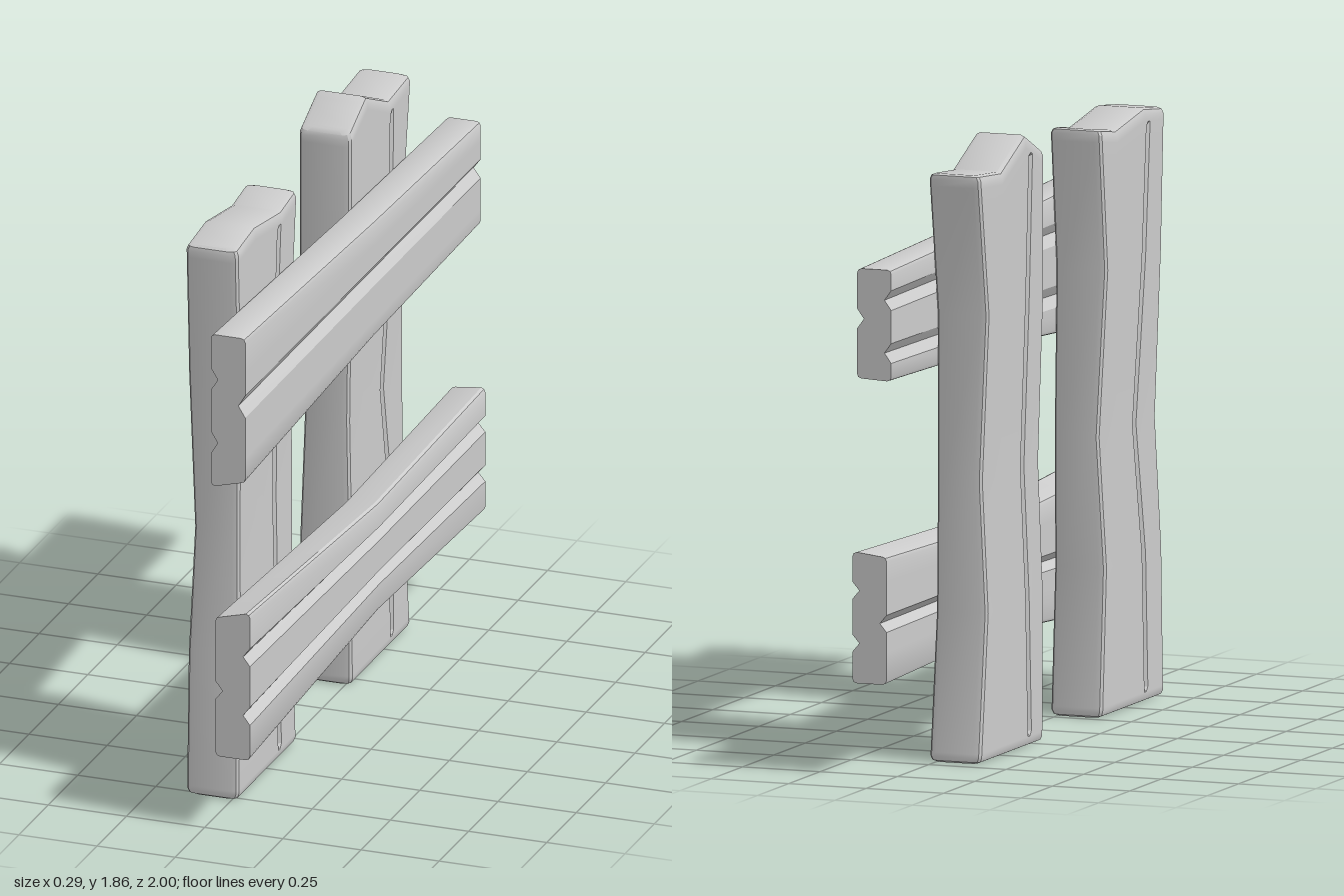
import * as THREE from 'three';
import { toCreasedNormals } from 'three/addons/utils/BufferGeometryUtils.js';

const material = new THREE.MeshStandardMaterial({ color: 0xcccccc });

// piecewise linear lookup; xs may run up or down
function lerpAt(xs, ys, x) {
  const s = Math.sign(xs[xs.length - 1] - xs[0]);
  if ((x - xs[0]) * s <= 0) return ys[0];
  for (let i = 1; i < xs.length; i++) {
    if ((x - xs[i]) * s <= 0) {
      return THREE.MathUtils.lerp(ys[i - 1], ys[i], (x - xs[i - 1]) / (xs[i] - xs[i - 1]));
    }
  }
  return ys[ys.length - 1];
}

// columns across a plank: u = position over the width, f / b = x of front and back face
function columns({ hi, lo, xf, xb, bu, bx, grooves, extra = [], slantHi = 0, slantLo = 0 }) {
  const cols = [];
  const add = (u, df = 0, db = 0, slant = 0) => cols.push({ u, f: xf - df, b: xb + db, slant });
  for (const [k, d] of [[0, 1], [0.3, 0.3], [1, 0]]) {
    add(hi - bu * k, bx * d, bx * d, slantHi);
    add(lo + bu * k, bx * d, bx * d, slantLo);
  }
  for (const { at, half, depth, front } of grooves) {
    add(at + half);
    add(at, front ? depth : 0, front ? 0 : depth);
    add(at - half);
  }
  extra.forEach((u) => add(u));
  return cols.sort((a, b) => b.u - a.u);
}

// joins sections (each a list of [frontPoint, backPoint]) into a closed skin
function loft(name, sections) {
  const n = sections[0].length, m = 2 * n, pos = [], idx = [];
  for (const s of sections) {
    s.forEach(([f]) => pos.push(...f));
    [...s].reverse().forEach(([, b]) => pos.push(...b));
  }
  for (let k = 0; k < sections.length - 1; k++) {
    for (let i = 0; i < m; i++) {
      const a = k * m + i, b = k * m + ((i + 1) % m);
      idx.push(a, b, b + m, a, b + m, a + m);
    }
  }
  const top = (sections.length - 1) * m;
  for (let i = 0; i < n - 1; i++) {
    const j = m - 1 - i;
    idx.push(top + i, top + i + 1, top + j - 1, top + i, top + j - 1, top + j);
    idx.push(i, j - 1, i + 1, i, j, j - 1);
  }
  const geo = new THREE.BufferGeometry();
  geo.setAttribute('position', new THREE.Float32BufferAttribute(pos, 3));
  geo.setIndex(idx);
  const mesh = new THREE.Mesh(toCreasedNormals(geo, 0.5), material);
  mesh.name = name;
  return mesh;
}

// upright post: widths and grooves are keyed at five heights, the top edge is jagged
const KEYS = [0, 0.45, 0.85, 1.35, 1.79];
function post(name, { hi, lo, backGroove, frontGroove, peak, dip, top }) {
  const bu = 0.012, bx = 0.022, bev = 0.018;
  // [height, measured from the top edge?, inset, groove depth]
  const stations = [
    [0, false, 1, 0], [0.3 * bev, false, 0.3, 0], [bev, false, 0, 0], [0.03, false, 0, 0], [0.045, false, 0, 0.013],
    [0.45, false, 0, 0.013], [0.85, false, 0, 0.013], [1.35, false, 0, 0.013],
    [-0.055, true, 0, 0.013], [-0.04, true, 0, 0], [-bev, true, 0, 0], [-0.3 * bev, true, 0.3, 0], [0, true, 1, 0],
  ];
  const topKeys = [hi[4], backGroove[4] + peak, frontGroove[4] + dip, lo[4]];
  return loft(name, stations.map(([h, fromTop, inset, depth]) => {
    const y = fromTop ? 1.79 + h : h;
    const key = (values) => lerpAt(KEYS, values, y);
    const waist = key([0, 0, 0.011, 0, 0]);
    const g1 = key(backGroove), g2 = key(frontGroove);
    const cols = columns({
      hi: key(hi) - inset * bu, lo: key(lo) + inset * bu,
      xf: 0.02 - waist - inset * bev, xb: -0.145 + waist + inset * bev, bu, bx,
      grooves: [
        { at: g1, half: 0.014, depth, front: false },
        { at: g2, half: 0.014, depth, front: true },
      ],
      extra: [g1 + peak, g2 + dip],
    });
    return cols.map(({ u, f, b }) => {
      const yy = fromTop ? lerpAt(topKeys, top, u) + h : h;
      return [[f, yy, u], [b, yy, u]];
    });
  }));
}

// horizontal rail: sections at both ends and at the bend, grooves run full length
function rail(name, { xf, xb, hi, lo, front, back, half, slantHi, slantLo }) {
  return loft(name, [1, -0.1, -1].map((z, k) => {
    const groove = (isFront) => (c) => ({ at: c[k], half: half[k], depth: 0.022, front: isFront });
    const cols = columns({
      hi: hi[k], lo: lo[k], xf, xb, bu: 0.013, bx: 0.013,
      grooves: [...front.map(groove(true)), ...back.map(groove(false))],
      slantHi: slantHi[k], slantLo: slantLo[k],
    });
    // slant tilts the top or bottom edge between front and back
    return cols.map(({ u, f, b, slant }) => [
      [f, u + Math.max(slant, 0), z], [b, u + Math.min(slant, 0), z],
    ]);
  }));
}

export function createModel() {
  const fence = new THREE.Group();
  fence.name = 'fence';

  fence.add(post('frontPost', {
    hi: [0.775, 0.76, 0.735, 0.757, 0.78],
    lo: [0.268, 0.3, 0.268, 0.31, 0.262],
    backGroove: [0.63, 0.61, 0.56, 0.61, 0.65],
    frontGroove: [0.41, 0.443, 0.43, 0.45, 0.415],
    peak: -0.03, dip: -0.02, top: [1.78, 1.8, 1.765, 1.785],
  }));
  fence.add(post('rearPost', {
    hi: [-0.19, -0.186, -0.197, -0.184, -0.183],
    lo: [-0.7, -0.645, -0.665, -0.638, -0.707],
    backGroove: [-0.3, -0.32, -0.335, -0.32, -0.29],
    frontGroove: [-0.54, -0.533, -0.482, -0.53, -0.54],
    peak: -0.04, dip: 0.02, top: [1.785, 1.855, 1.77, 1.785],
  }));

  fence.add(rail('upperRail', {
    xf: 0.13, xb: 0.02,
    hi: [1.6, 1.556, 1.532], lo: [1.11, 1.173, 1.195],
    front: [[1.38, 1.382, 1.38]],
    back: [[1.455, 1.45, 1.44], [1.25, 1.27, 1.28]],
    half: [0.036, 0.032, 0.03],
    slantHi: [0, 0, 0], slantLo: [0.022, 0.01, 0.004],
  }));
  fence.add(rail('lowerRail', {
    xf: 0.145, xb: 0.035,
    hi: [0.71, 0.648, 0.672], lo: [0.237, 0.3, 0.275],
    front: [[0.57, 0.548, 0.556], [0.38, 0.407, 0.396]],
    back: [[0.45, 0.465, 0.46]],
    half: [0.029, 0.022, 0.026],
    slantHi: [-0.022, -0.01, -0.01], slantLo: [0, 0, 0],
  }));
  return fence;
}
